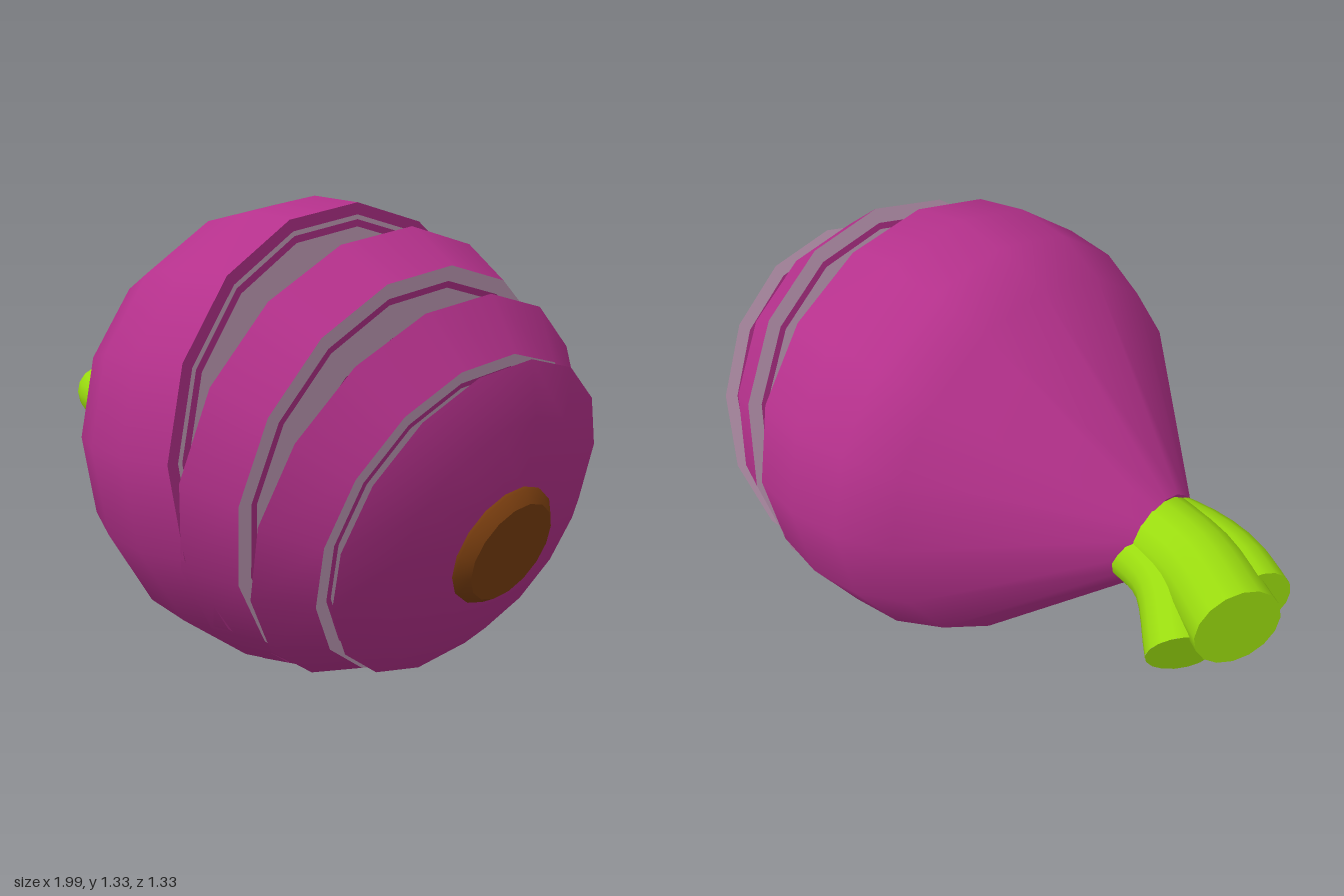
import * as THREE from 'three';

const SIDES = 16;
const CENTRE_Y = 0.667;

function material(name, color) {
  const m = new THREE.MeshStandardMaterial({ color });
  m.name = name;
  return m;
}

export function createModel() {
  const skin = material('purple skin', 0xb5318c);
  const flesh = material('pale flesh', 0xcaa3c0);
  const green = material('green stem', 0x9adb0f);
  const brown = material('brown root', 0x7d4010);

  const model = new THREE.Group();
  model.name = 'slicedOnion';

  // Surface of revolution; profile points are [distance along axis, radius]
  function turned(parent, name, mat, profile) {
    const points = profile.map(([along, radius]) => new THREE.Vector2(radius, along));
    const mesh = new THREE.Mesh(new THREE.LatheGeometry(points, SIDES), mat);
    mesh.name = name;
    parent.add(mesh);
  }

  // Group whose y axis runs along the onion, tipped down towards the root
  function section(name, x, y, tiltDegrees) {
    const group = new THREE.Group();
    group.name = name;
    group.position.set(x, y, 0);
    group.rotation.z = -Math.PI / 2 - THREE.MathUtils.degToRad(tiltDegrees);
    model.add(group);
    return group;
  }

  // Flat cut made of alternating flesh and skin rings; facing is 1 or -1 along the axis
  function cutFace(parent, name, along, radius, facing, outer) {
    const rings = [...outer, 0.93, 0.9, 0.74, 0.71, 0.54, 0.51, 0.35, 0.32, 0];
    let inSkin = outer.length > 1;
    for (let i = 0; i < rings.length - 1; i++) {
      const ends = [[along, rings[i] * radius], [along, rings[i + 1] * radius]];
      if (facing < 0) ends.reverse();
      turned(parent, name + (inSkin ? 'SkinRing' : 'FleshRing'), inSkin ? skin : flesh, ends);
      inSkin = !inSkin;
    }
  }

  // Main bulb, cut straight across at its wide end
  const bulb = section('bulb', 0, CENTRE_Y, 0);
  turned(bulb, 'bulbSkin', skin, [
    [-0.58, 0.125], [-0.11, 0.573], [0.05, 0.643], [0.22, 0.665], [0.39, 0.643],
  ]);
  turned(bulb, 'bulbNeck', skin, [[-0.585, 0], [-0.58, 0.125]]);
  cutFace(bulb, 'bulbCut', 0.39, 0.643, 1, [1, 0.95]);

  // Two loose slices leaning away from the bulb
  const slices = [
    { name: 'wideSlice', x: 0.43, y: 0.627, tilt: 14.4, r0: 0.638, r1: 0.577, thick: 0.157 },
    { name: 'narrowSlice', x: 0.645, y: 0.548, tilt: 21.2, r0: 0.571, r1: 0.467, thick: 0.123 },
  ];
  for (const s of slices) {
    const slice = section(s.name, s.x, s.y, s.tilt);
    turned(slice, s.name + 'Skin', skin, [[0, s.r0], [s.thick, s.r1]]);
    cutFace(slice, s.name + 'Back', 0, s.r0, -1, [1]);
    cutFace(slice, s.name + 'Front', s.thick, s.r1, 1, [1]);
  }

  // Root end with its brown button
  const end = section('rootEnd', 0.81, 0.5, 21.5);
  turned(end, 'rootEndSkin', skin, [[0, 0.462], [0.07, 0.339], [0.105, 0.16], [0.11, 0]]);
  cutFace(end, 'rootEndCut', 0, 0.462, -1, [1]);
  turned(end, 'rootSide', brown, [[0.095, 0.17], [0.112, 0.168], [0.138, 0.14]]);
  turned(end, 'rootTip', brown, [[0.138, 0.14], [0.138, 0]]);

  // Curved green stems with flat ends
  function stem(name, radius, path) {
    const group = new THREE.Group();
    group.name = name;
    const curve = new THREE.CatmullRomCurve3(path.map((p) => new THREE.Vector3(...p)));
    const tube = new THREE.Mesh(new THREE.TubeGeometry(curve, 8, radius, SIDES), green);
    tube.name = name + 'Tube';
    const cap = new THREE.Mesh(new THREE.CircleGeometry(radius, SIDES), green);
    cap.name = name + 'Cap';
    const tip = curve.getPoint(1);
    cap.position.copy(tip);
    cap.lookAt(tip.clone().add(curve.getTangent(1)));
    group.add(tube, cap);
    model.add(group);
  }
  stem('mainStem', 0.12, [[-0.5, 0.67, 0], [-0.72, 0.67, -0.035], [-0.94, 0.67, -0.145]]);
  stem('lowStem', 0.09, [[-0.5, 0.64, -0.065], [-0.67, 0.62, -0.095], [-0.83, 0.555, -0.225]]);
  stem('frontStem', 0.09, [[-0.5, 0.67, 0.035], [-0.68, 0.67, 0.055], [-0.8, 0.67, 0.035], [-0.918, 0.67, -0.025]]);

  return model;
}
